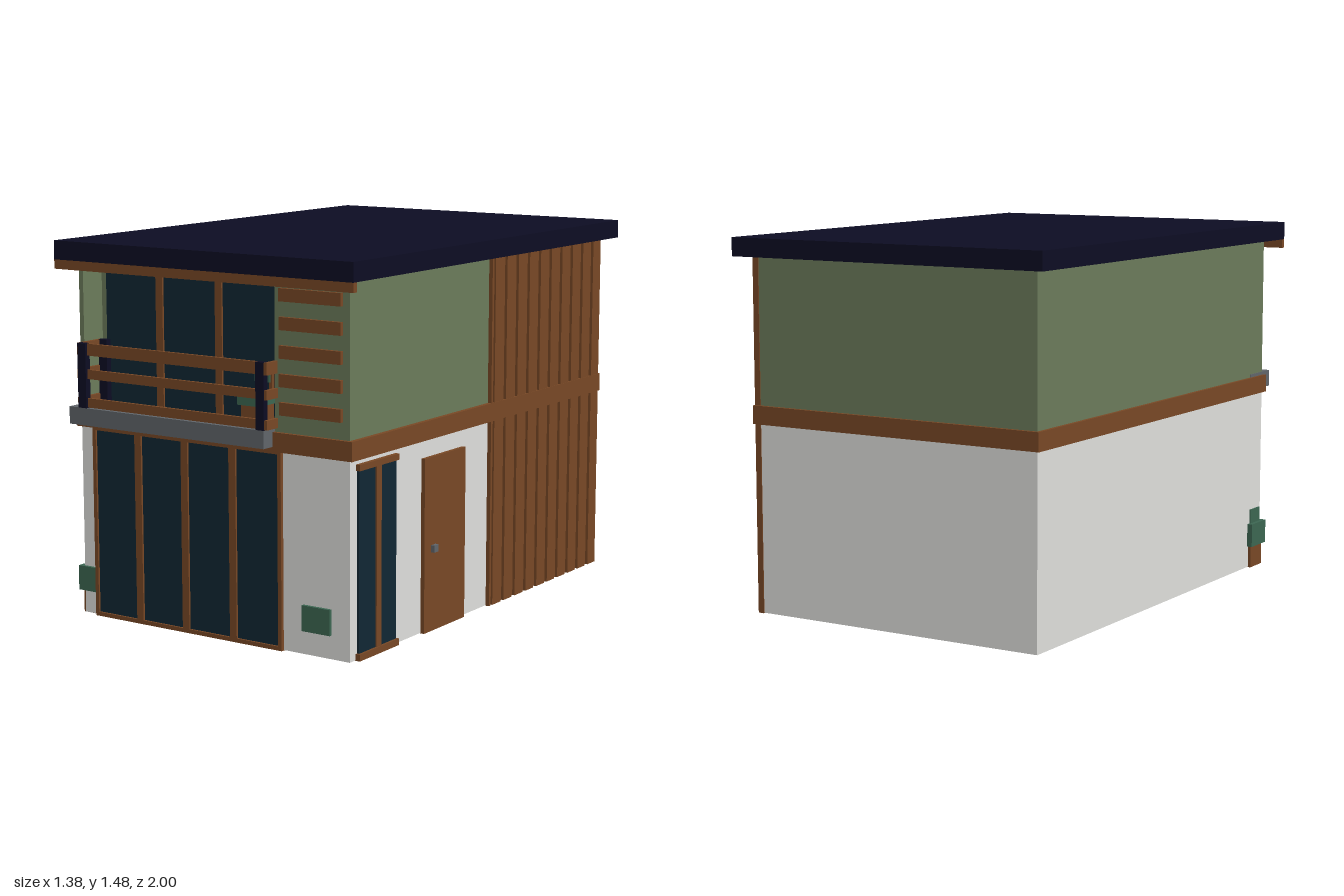
import * as THREE from 'three';

const mat = (name, color) => {
  const m = new THREE.MeshStandardMaterial({ color });
  m.name = name;
  return m;
};

export function createModel() {
  const house = new THREE.Group();
  house.name = 'house';

  const navy = mat('navy', 0x0d0d24);
  const wood = mat('wood', 0x7a4926);
  const sage = mat('sage green', 0x6d7d5c);
  const white = mat('white plaster', 0xe2e2df);
  const glass = mat('dark glass', 0x112835);
  const grey = mat('grey', 0x62676c);
  const green = mat('seat green', 0x3d6853);

  // Box given by its extents on each axis
  const box = (name, m, [x0, x1], [y0, y1], [z0, z1], parent = house) => {
    const mesh = new THREE.Mesh(new THREE.BoxGeometry(x1 - x0, y1 - y0, z1 - z0), m);
    mesh.position.set((x0 + x1) / 2, (y0 + y1) / 2, (z0 + z1) / 2);
    mesh.name = name;
    parent.add(mesh);
    return mesh;
  };
  const group = (name) => {
    const g = new THREE.Group();
    g.name = name;
    house.add(g);
    return g;
  };

  // Ground floor and the band around it
  box('lowerWalls', white, [-0.63, 0.63], [0.002, 0.77], [-0.93, 0.93]);
  box('floorBand', wood, [-0.644, 0.648], [0.75, 0.823], [-0.944, 0.944]);

  // Upper floor with a recess behind the balcony
  const upper = group('upperWalls');
  box('upperRearWalls', sage, [-0.63, 0.63], [0.8, 1.4], [-0.93, 0.82], upper);
  box('upperFrontWall', sage, [0.3, 0.63], [0.8, 1.4], [0.82, 0.93], upper);
  box('upperSideWall', sage, [-0.63, -0.61], [0.8, 1.4], [0.82, 0.93], upper);

  // Roof
  box('roof', navy, [-0.692, 0.692], [1.402, 1.475], [-1, 1]);
  box('fascia', wood, [-0.692, 0.692], [1.366, 1.402], [0.978, 1]);

  // Ground floor front window on its wooden floor
  const front = group('frontWindow');
  box('windowFloor', wood, [-0.565, 0.335], [0, 0.012], [0.335, 0.94], front);
  box('frontGlass', glass, [-0.56, 0.33], [0.005, 0.75], [0.92, 0.936], front);
  for (const [a, b] of [[-0.566, -0.55], [-0.357, -0.325], [-0.132, -0.1], [0.094, 0.126], [0.318, 0.334]])
    box('frontMullion', wood, [a, b], [0, 0.752], [0.92, 0.944], front);
  box('frontSill', wood, [-0.565, 0.334], [0, 0.016], [0.92, 0.944], front);
  box('frontHead', wood, [-0.565, 0.334], [0.742, 0.752], [0.92, 0.944], front);

  // Upper window in the recess
  const up = group('upperWindow');
  box('upperGlass', glass, [-0.582, 0.25], [0.83, 1.385], [0.81, 0.827], up);
  for (const [a, b] of [[-0.33, -0.297], [-0.046, -0.014], [0.238, 0.255]])
    box('upperMullion', wood, [a, b], [0.83, 1.385], [0.81, 0.835], up);

  // Wall slats beside the balcony
  for (let i = 0; i < 5; i++) {
    const y = 0.888 + i * 0.1045;
    box('wallSlat', wood, [0.328, 0.6], [y, y + 0.048], [0.925, 0.945]);
  }

  // Balcony slab, posts and rails
  const balcony = group('balcony');
  box('balconySlab', grey, [-0.632, 0.298], [0.768, 0.836], [0.815, 0.999], balcony);
  for (const [a, b] of [[-0.585, -0.545], [0.263, 0.3]])
    for (const z of [0.85, 0.975])
      box('balconyPost', navy, [a, b], [0.836, 1.087], [z, z + 0.025], balcony);
  for (const [y0, y1] of [[0.838, 0.874], [0.949, 0.985], [1.04, 1.086]]) {
    box('frontRail', wood, [-0.595, 0.313], [y0, y1], [0.976, 0.99], balcony);
    box('leftRail', wood, [-0.595, -0.58], [y0, y1], [0.85, 0.99], balcony);
    box('rightRail', wood, [0.298, 0.313], [y0, y1], [0.85, 0.998], balcony);
  }

  // Balcony chair
  const chair = group('balconyChair');
  box('chairBase', wood, [0.157, 0.238], [0.836, 0.915], [0.85, 0.945], chair);
  box('chairSeat', green, [0.148, 0.246], [0.912, 0.95], [0.845, 0.957], chair);
  box('chairBackSupport', wood, [0.225, 0.24], [0.95, 1.04], [0.85, 0.865], chair);
  box('chairBack', green, [0.163, 0.232], [0.99, 1.038], [0.85, 0.87], chair);

  // Ground floor seats that break through the walls at the front corners
  const seat = group('cornerSeat');
  box('cornerSeatBase', wood, [-0.642, -0.575], [0, 0.1], [0.82, 0.925], seat);
  box('cornerSeatCushion', green, [-0.652, -0.55], [0.092, 0.19], [0.81, 0.943], seat);
  box('cornerSeatBack', green, [-0.635, -0.615], [0.19, 0.25], [0.83, 0.92], seat);
  box('frontSeatCushion', green, [0.425, 0.55], [0.092, 0.19], [0.85, 0.943]);

  // Narrow side window
  const side = group('sideWindow');
  box('sideGlass', glass, [0.62, 0.639], [0.01, 0.72], [0.636, 0.883], side);
  box('sideMullion', wood, [0.62, 0.645], [0.01, 0.72], [0.744, 0.776], side);
  box('sideSill', wood, [0.62, 0.648], [0, 0.026], [0.63, 0.892], side);
  box('sideHead', wood, [0.62, 0.648], [0.708, 0.731], [0.63, 0.892], side);

  // Door and handle
  box('door', wood, [0.62, 0.646], [0, 0.68], [0.155, 0.45]);
  box('doorHandle', grey, [0.64, 0.66], [0.31, 0.338], [0.372, 0.402]);

  // Timber cladding with battens
  const cladding = group('sideCladding');
  box('claddingPanel', wood, [0.62, 0.635], [0, 1.402], [-0.933, -0.037], cladding);
  const count = 10;
  const pitch = 0.896 / count;
  for (let i = 0; i < count; i++) {
    const z = -0.933 + i * pitch;
    box('claddingBoard', wood, [0.63, 0.646], [0, 1.402], [z, z + pitch * 0.72], cladding);
  }
  box('claddingEdge', wood, [0.63, 0.646], [0, 1.402], [-0.05, -0.037], cladding);

  return house;
}
